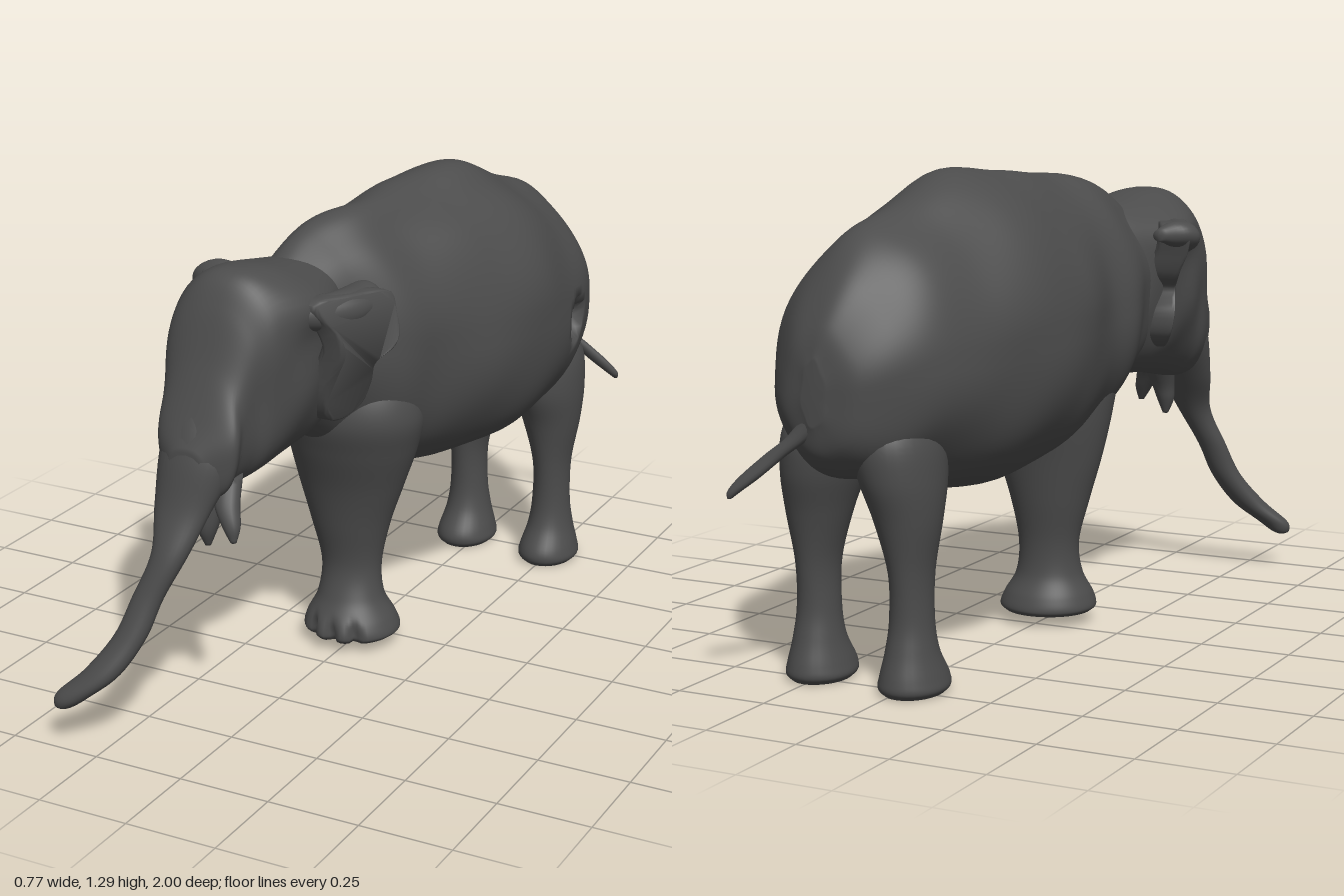
import * as THREE from 'three';
import { mergeVertices, toCreasedNormals } from 'three/addons/utils/BufferGeometryUtils.js';

const V = (x, y, z) => new THREE.Vector3(x, y, z);
const bell = (x, width) => Math.exp(-((x / width) ** 2));

// Closed smooth skin through rounded rings; a smaller power makes squarer rings.
// upright = true: rings lie in xz, listed top down, [x, y, z, radiusX, radiusZ]
// upright = false: rings lie in xy, listed back to front, [x, z, bottom, top, halfWidth]
function loft(sections, upright, { rings = 40, sides = 32, power = 1, rule } = {}) {
  const centres = new THREE.CatmullRomCurve3(sections.map(s =>
    upright ? V(s[0], s[1], s[2]) : V(s[0], (s[2] + s[3]) / 2, s[1])), false, 'catmullrom');
  const sizes = new THREE.CatmullRomCurve3(sections.map(s =>
    upright ? V(s[3], s[4], 0) : V(s[4], (s[3] - s[2]) / 2, 0)), false, 'catmullrom');
  const round = t => Math.sign(t) * Math.abs(t) ** power;
  const pos = [], index = [];
  for (let i = 0; i <= rings; i++) {
    const c = centres.getPoint(i / rings), r = sizes.getPoint(i / rings);
    for (let j = 0; j < sides; j++) {
      const a = j / sides * Math.PI * 2;
      const u = round(Math.cos(a)) * r.x, v = round(Math.sin(a)) * r.y;
      const p = upright ? V(c.x + u, c.y, c.z + v) : V(c.x + u, c.y + v, c.z);
      if (rule) rule(p, c, a);
      pos.push(p.x, p.y, p.z);
    }
  }
  for (let i = 0; i < rings; i++) for (let j = 0; j < sides; j++) {
    const k = (j + 1) % sides, a = i * sides, b = a + sides;
    index.push(a + j, a + k, b + j, a + k, b + k, b + j);
  }
  const first = centres.getPoint(0), last = centres.getPoint(1), n = pos.length / 3;
  pos.push(...first.toArray(), ...last.toArray());
  for (let j = 0; j < sides; j++) {
    const k = (j + 1) % sides, e = rings * sides;
    index.push(n, k, j, n + 1, e + j, e + k);
  }
  const g = new THREE.BufferGeometry();
  g.setAttribute('position', new THREE.Float32BufferAttribute(pos, 3));
  g.setIndex(index);
  g.computeVertexNormals();
  return g;
}

export function createModel() {
  const model = new THREE.Group();
  const hide = new THREE.MeshStandardMaterial({ color: 0x4c4c4c });
  hide.name = 'grey hide';
  const add = (name, geometry) => {
    const m = new THREE.Mesh(geometry, hide);
    m.name = name;
    model.add(m);
  };

  // Barrel body: spine ridge, shallow groove beside it, full belly and a hollow on the left flank
  add('body', loft([
    [0.13, -0.945, 0.70, 0.86, 0.03], [0.12, -0.92, 0.62, 0.95, 0.11],
    [0.11, -0.85, 0.56, 1.06, 0.185], [0.10, -0.75, 0.54, 1.155, 0.245],
    [0.085, -0.60, 0.49, 1.21, 0.285], [0.06, -0.40, 0.465, 1.29, 0.32],
    [0.03, -0.20, 0.48, 1.28, 0.30], [0.0, 0.0, 0.515, 1.262, 0.24],
    [-0.03, 0.12, 0.57, 1.252, 0.225], [-0.06, 0.22, 0.65, 1.215, 0.175],
    [-0.085, 0.33, 0.71, 1.15, 0.14],
  ], false, {
    rings: 120, sides: 80,
    rule(p, c, a) {
      const up = Math.max(0, Math.sin(a)), down = Math.max(0, -Math.sin(a));
      p.x += (p.x - c.x) * (0.11 * down - 0.24 * up * up);
      const bump = 0.004 * Math.sin(p.z * 17 + 1) * Math.sin(a * 6)
        - 0.014 * bell(a - 1.05, 0.22) * bell(p.z + 0.25, 0.4);
      p.x += Math.cos(a) * bump;
      p.y += Math.sin(a) * bump;
      const d = Math.hypot((p.z + 0.61) / 0.066, (p.y - 0.805) / 0.05);
      if (p.x > 0.2) p.x -= 0.06 * (1 - THREE.MathUtils.smoothstep(d, 0.7, 1.15));
    },
  }));

  // Head: flat crown, wide temples where the ears spring, narrower jaw
  add('head', loft([
    [-0.07, 0.16, 0.74, 1.13, 0.12], [-0.08, 0.25, 0.70, 1.155, 0.15],
    [-0.09, 0.36, 0.675, 1.175, 0.168], [-0.095, 0.48, 0.66, 1.195, 0.17],
    [-0.105, 0.56, 0.645, 1.185, 0.155], [-0.12, 0.61, 0.635, 1.11, 0.135],
    [-0.12, 0.66, 0.63, 0.97, 0.118], [-0.11, 0.71, 0.635, 0.85, 0.112],
    [-0.12, 0.75, 0.66, 0.77, 0.05],
  ], false, {
    rings: 60, sides: 64, power: 0.85,
    rule(p, c, a) {
      const wide = 0.07 * Math.sin(a) + 0.28 * bell(p.y - 1.1, 0.065) * bell(p.z - 0.4, 0.13);
      p.x += (p.x - c.x) * wide + 0.006 * Math.cos(a) * Math.sin(p.z * 24) * Math.sin(p.y * 20);
    },
  }));

  // Trunk sweeping forward and to the right
  add('trunk', loft([
    [-0.12, 0.95, 0.575, 0.075, 0.07], [-0.12, 0.85, 0.62, 0.1, 0.09],
    [-0.118, 0.75, 0.67, 0.112, 0.085], [-0.135, 0.62, 0.735, 0.08, 0.052],
    [-0.142, 0.51, 0.795, 0.05, 0.04], [-0.183, 0.40, 0.838, 0.042, 0.035],
    [-0.215, 0.30, 0.878, 0.044, 0.038], [-0.27, 0.21, 0.928, 0.05, 0.042],
    [-0.335, 0.15, 0.963, 0.046, 0.036], [-0.358, 0.12, 0.972, 0.028, 0.026],
    [-0.362, 0.11, 0.974, 0.01, 0.01],
  ], true, { rings: 70 }));

  // Lower lip and short tusk beside the trunk
  add('lowerLip', loft([
    [-0.08, 0.69, 0.65, 0.06, 0.06], [-0.085, 0.60, 0.685, 0.035, 0.035],
    [-0.09, 0.55, 0.695, 0.025, 0.025], [-0.09, 0.508, 0.695, 0.008, 0.008],
  ], true, { rings: 16, sides: 16 }));
  add('tusk', loft([
    [-0.05, 0.69, 0.65, 0.035, 0.035], [-0.035, 0.63, 0.69, 0.035, 0.03],
    [-0.012, 0.58, 0.71, 0.025, 0.022], [0.0, 0.54, 0.72, 0.008, 0.008],
  ], true, { rings: 16, sides: 16 }));

  // Ears: a hanging lobe under a rolled upper edge; the left lobe stands out, the right lies close
  const headX = -0.07;
  const flap = [[0.46, 1.10], [0.36, 1.11], [0.265, 1.10], [0.27, 1.03], [0.285, 0.97], [0.315, 0.93],
    [0.285, 0.86], [0.29, 0.80], [0.345, 0.765], [0.39, 0.82], [0.41, 0.93], [0.43, 1.03]];
  for (const [side, s, depth, lobe, tip] of [['left', 1, 0.04, 0.05, -0.02], ['right', -1, 0.07, -0.02, 0.01]]) {
    const edge = new THREE.CatmullRomCurve3(flap.map(([z, y]) => V(-s * z, y, 0)), true);
    const shape = new THREE.Shape(edge.getPoints(60).map(p => new THREE.Vector2(p.x, p.y)));
    let g = new THREE.ExtrudeGeometry(shape, {
      depth, bevelEnabled: true, bevelSize: 0.006, bevelThickness: 0.012, bevelSegments: 3,
    });
    g.rotateY(s * Math.PI / 2);
    const p = g.attributes.position;
    for (let i = 0; i < p.count; i++) {
      const y = p.getY(i);
      const out = 0.165 - depth + (0.45 - p.getZ(i)) * 0.55
        - Math.max(0, 1.03 - y) * 0.25 + lobe * bell(y - 0.97, 0.08);
      p.setX(i, p.getX(i) + headX + s * out);
    }
    g.deleteAttribute('uv');
    g.deleteAttribute('normal');
    g = toCreasedNormals(mergeVertices(g, 1e-4), 0.9);
    add(side + 'EarFlap', g);

    add(side + 'EarFold', loft([
      [headX + s * (0.19 + tip), 0.215, 1.07, 1.10, 0.015], [headX + s * (0.22 + tip), 0.25, 1.055, 1.12, 0.045],
      [headX + s * (0.22 + tip), 0.30, 1.035, 1.12, 0.06], [headX + s * 0.185, 0.37, 1.02, 1.12, 0.055],
      [headX + s * 0.13, 0.45, 1.03, 1.11, 0.05], [headX + s * 0.08, 0.52, 1.06, 1.09, 0.02],
    ], false, { rings: 30, sides: 24 }));
  }

  // Single broad front leg running up into the chest, with toes notched into the foot
  add('frontLeg', loft([
    [-0.03, 0.88, 0.08, 0.10, 0.08], [-0.01, 0.80, 0.08, 0.175, 0.13],
    [0.0, 0.70, 0.075, 0.20, 0.16], [-0.005, 0.60, 0.065, 0.186, 0.145],
    [-0.014, 0.48, 0.058, 0.153, 0.113], [-0.018, 0.36, 0.055, 0.115, 0.09],
    [-0.015, 0.24, 0.055, 0.087, 0.071], [-0.012, 0.15, 0.065, 0.094, 0.085],
    [-0.008, 0.09, 0.07, 0.125, 0.118], [-0.006, 0.055, 0.07, 0.136, 0.128],
    [-0.006, 0.04, 0.07, 0.122, 0.118],
  ], true, {
    rings: 80, sides: 64,
    rule(p, c, a) {
      const low = 1 - THREE.MathUtils.smoothstep(p.y, 0.06, 0.12);
      const notch = bell(a - 1.05, 0.1) + bell(a - 1.6, 0.1) + bell(a - 2.15, 0.1);
      p.x -= (p.x - c.x) * 0.2 * low * notch;
      p.z -= (p.z - c.z) * 0.2 * low * notch;
    },
  }));

  // Hind legs: heavy thigh, slim shank, spreading foot
  const hind = [[0.80, 0.03, 0.04, 0.01], [0.75, 0.075, 0.08, 0.01], [0.66, 0.108, 0.135, 0.005],
    [0.56, 0.105, 0.135, 0.005], [0.45, 0.083, 0.10, 0], [0.32, 0.055, 0.073, 0], [0.2, 0.055, 0.064, 0],
    [0.12, 0.065, 0.077, 0], [0.055, 0.082, 0.105, 0.01], [0.025, 0.087, 0.108, 0.01],
    [0.008, 0.072, 0.092, 0.01]];
  for (const [name, x, lean, z] of [['leftHindLeg', 0.252, -0.06, -0.73], ['rightHindLeg', -0.03, 0.08, -0.75]]) {
    add(name, loft(hind.map(([y, rx, rz, dz]) =>
      [x + lean * Math.max(0, y - 0.4) * 2, y, z + dz, rx, rz]), true, { rings: 60 }));
  }

  // Tail swung out to the left
  add('tail', loft([
    [0.13, 0.74, -0.90, 0.035, 0.035], [0.18, 0.67, -0.925, 0.032, 0.022],
    [0.24, 0.62, -0.945, 0.03, 0.017], [0.30, 0.565, -0.968, 0.028, 0.017],
    [0.335, 0.53, -0.983, 0.018, 0.014], [0.345, 0.512, -0.99, 0.006, 0.006],
  ], true, { rings: 24, sides: 16 }));

  return model;
}
